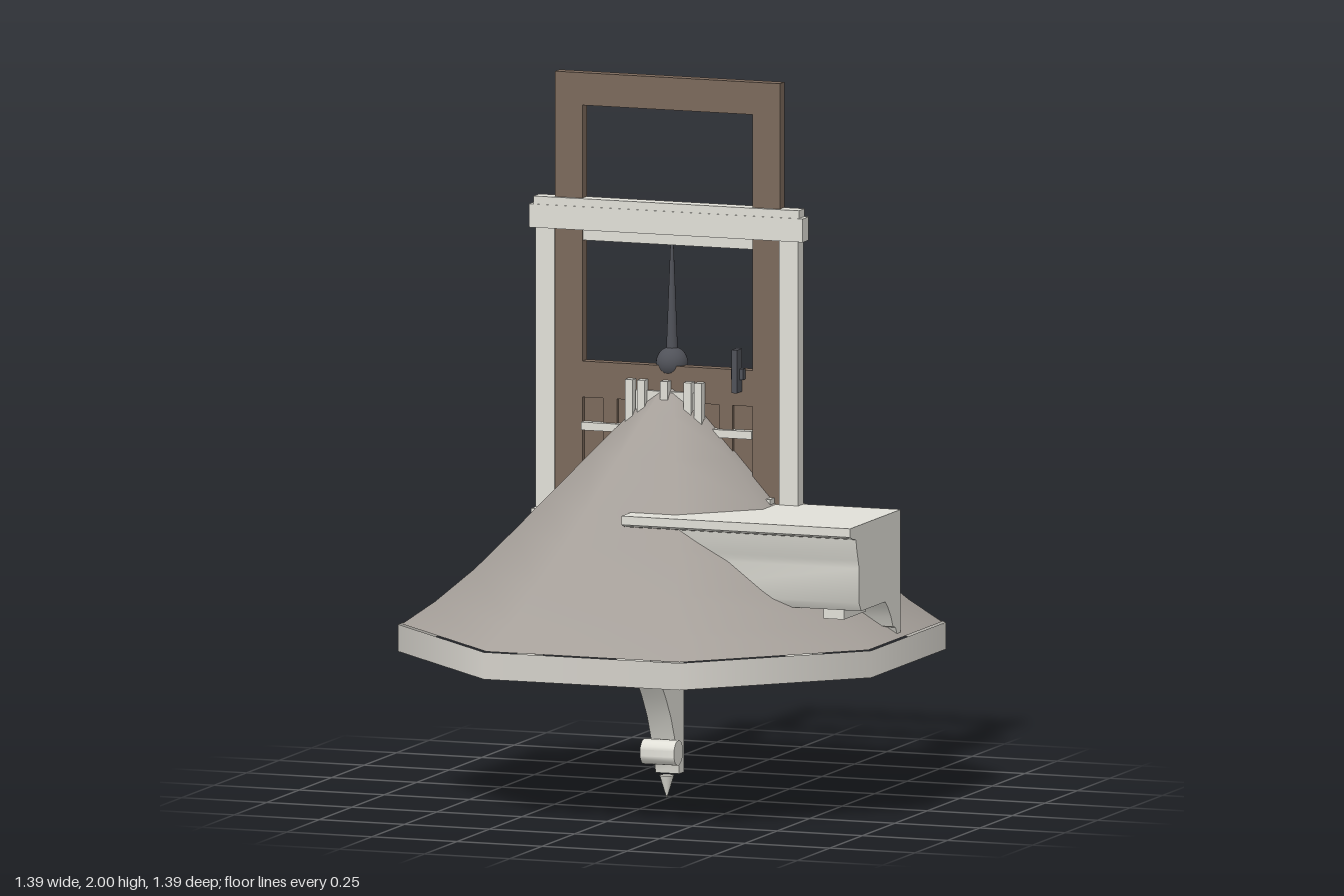
import * as THREE from 'three';
import { toCreasedNormals } from 'three/addons/utils/BufferGeometryUtils.js';

const stone = new THREE.MeshStandardMaterial({ color: 0xe0dfd7 });
stone.name = 'pale stone';
const slate = new THREE.MeshStandardMaterial({ color: 0xa6a09a, side: THREE.DoubleSide });
slate.name = 'roof grey';
const wood = new THREE.MeshStandardMaterial({ color: 0x7b695b });
wood.name = 'brown wood';
const iron = new THREE.MeshStandardMaterial({ color: 0x505259 });
iron.name = 'dark iron';
const under = new THREE.MeshStandardMaterial({ color: 0x92908d });
under.name = 'soffit grey';
const band = new THREE.MeshStandardMaterial({ color: 0xd6d3cc, side: THREE.DoubleSide });
band.name = 'fascia grey';

const OCT = 1 / Math.cos(Math.PI / 8); // apothem to corner radius

export function createModel() {
  const model = new THREE.Group();

  const add = (name, geometry, material, x = 0, y = 0, z = 0, parent = model) => {
    const mesh = new THREE.Mesh(geometry, material);
    mesh.name = name;
    mesh.position.set(x, y, z);
    parent.add(mesh);
    return mesh;
  };
  // Box given by its limits on each axis
  const block = (name, material, [x0, x1], [y0, y1], [z0, z1], parent = model) =>
    add(name, new THREE.BoxGeometry(x1 - x0, y1 - y0, z1 - z0), material,
      (x0 + x1) / 2, (y0 + y1) / 2, (z0 + z1) / 2, parent);
  // Profile of [z, y] points extended along x
  const moulding = (name, material, points, x0, x1) => {
    const shape = new THREE.Shape(points.map(([z, y]) => new THREE.Vector2(-z, y)));
    const geometry = new THREE.ExtrudeGeometry(shape, { depth: x1 - x0, bevelEnabled: false });
    geometry.rotateY(Math.PI / 2);
    return add(name, toCreasedNormals(geometry, 0.6), material, x0);
  };

  // Eight-sided, slightly flared roof
  const slope = [[0.685, 0.482], [0.6, 0.545], [0.5, 0.635], [0.4, 0.742], [0.32, 0.83],
    [0.2, 0.962], [0.1, 1.07], [0.03, 1.142], [0.001, 1.17]];
  add('roof', new THREE.LatheGeometry(
    slope.map(([a, y]) => new THREE.Vector2(a * OCT, y)), 8, Math.PI / 8), slate);

  // Open rim around a recessed soffit
  add('fascia', new THREE.CylinderGeometry(0.695 * OCT, 0.695 * OCT, 0.075, 8, 1, true, Math.PI / 8),
    band, 0, 0.4435, 0);
  const soffit = new THREE.CircleGeometry(0.685 * OCT, 8, Math.PI / 8);
  soffit.rotateX(Math.PI / 2);
  add('soffit', soffit, under, 0, 0.478, 0);

  // Finial: ball and needle
  add('finialBall', new THREE.SphereGeometry(0.044, 24, 16), iron, 0, 1.205, 0);
  add('finialNeedle', new THREE.CylinderGeometry(0.004, 0.016, 0.31, 16), iron, 0, 1.39, 0);
  add('finialNeck', new THREE.CylinderGeometry(0.018, 0.024, 0.06, 16), iron, 0, 1.145, 0);

  // Tall wooden frame with its recessed lower panel
  const frame = new THREE.Group();
  frame.name = 'woodenFrame';
  model.add(frame);
  block('topRail', wood, [-0.33, 0.33], [1.91, 2], [0, 0.035], frame);
  block('middleRail', wood, [-0.25, 0.25], [1.1, 1.2], [0, 0.035], frame);
  block('lowerPanel', wood, [-0.25, 0.25], [0.5, 1.1], [0.012, 0.02], frame);
  for (const s of [-1, 1]) {
    const span = (a, b) => (s > 0 ? [a, b] : [-b, -a]);
    block('stile', wood, span(0.25, 0.33), [0.485, 1.91], [0, 0.035], frame);
    block('panelStrip', wood, span(0.15, 0.19), [0.5, 1.1], [0.004, 0.032], frame);

    // Stone posts and the stepped feet below the soffit
    block('post', stone, span(0.33, 0.386), [0.47, 1.57], [0.001, 0.04]);
    block('footBlock', stone, span(0.362, 0.443), [0.41, 0.485], [0, 0.08]);
    block('foot', stone, span(0.377, 0.43), [0.35, 0.41], [0.003, 0.066]);
  }
  block('bottomRail', stone, [-0.365, 0.365], [0.474, 0.5], [0.001, 0.035]);

  // Lintel across the posts
  block('lintel', stone, [-0.402, 0.402], [1.565, 1.63], [0.001, 0.047]);
  block('lintelCap', stone, [-0.39, 0.39], [1.63, 1.652], [0.001, 0.045]);
  block('lintelFillet', stone, [-0.25, 0.25], [1.535, 1.565], [0.003, 0.03]);

  // Small slats and sill behind the roof tip
  block('sill', stone, [-0.25, 0.25], [1.01, 1.032], [0.02, 0.045]);
  block('slatBacking', stone, [-0.09, 0.09], [1.05, 1.13], [0.03, 0.045]);
  for (const x of [-0.104, -0.068, 0, 0.068, 0.1]) {
    block('slat', stone, [x - 0.011, x + 0.011], [1.04, 1.16], [0.035, 0.062]);
  }

  // Latch
  block('latchPlate', iron, [0.203, 0.219], [1.14, 1.26], [0.035, 0.073]);
  block('latchKnob', iron, [0.195, 0.229], [1.175, 1.205], [0.035, 0.055]);

  // Cornice block leaving the roof on its left side
  moulding('corniceBlock', stone, [[0, 0.832], [0.39, 0.832], [0.39, 0.808], [0.37, 0.8],
    [0.345, 0.795], [0.338, 0.765], [0.328, 0.735], [0.32, 0.712], [0.32, 0.615],
    [0.305, 0.592], [0, 0.592]], 0, 0.672);
  moulding('corniceBracket', stone, [[0, 0.6], [0.13, 0.6], [0.1, 0.575], [0.075, 0.545],
    [0.06, 0.515], [0.04, 0.51], [0.03, 0.492], [0, 0.49]], 0.4, 0.672);
  block('corniceDrop', stone, [0.56, 0.62], [0.565, 0.595], [0.13, 0.3]);

  // Odd pieces standing out of the slope
  block('slopeStrip', stone, [-0.446, -0.432], [0.67, 0.71], [0, 0.103]);
  block('postBlock', stone, [-0.385, -0.3], [0.72, 0.79], [0.03, 0.076]);
  block('postPeg', stone, [0.295, 0.315], [0.78, 0.85], [0.03, 0.07]);

  // Hanging scrolled bracket with its pointed drop
  moulding('bracketWeb', stone, [[0, 0.48], [0.25, 0.48], [0.24, 0.41], [0.19, 0.355],
    [0.14, 0.295], [0.1, 0.235], [0.07, 0.17], [0.05, 0.115], [0.04, 0.1], [0.036, 0.07],
    [0, 0.07]], -0.035, 0.035);
  const roll = (name, radius, y, z) => {
    const geometry = new THREE.CylinderGeometry(radius, radius, 0.1, 24);
    geometry.rotateZ(Math.PI / 2);
    add(name, toCreasedNormals(geometry, 0.6), stone, 0, y, z);
  };
  roll('upperScroll', 0.05, 0.42, 0.245);
  roll('lowerScroll', 0.035, 0.135, 0.082);
  const drop = new THREE.ConeGeometry(0.02, 0.065, 16);
  drop.rotateX(Math.PI);
  add('bracketDrop', drop, stone, 0, 0.0325, 0.04);

  return model;
}
